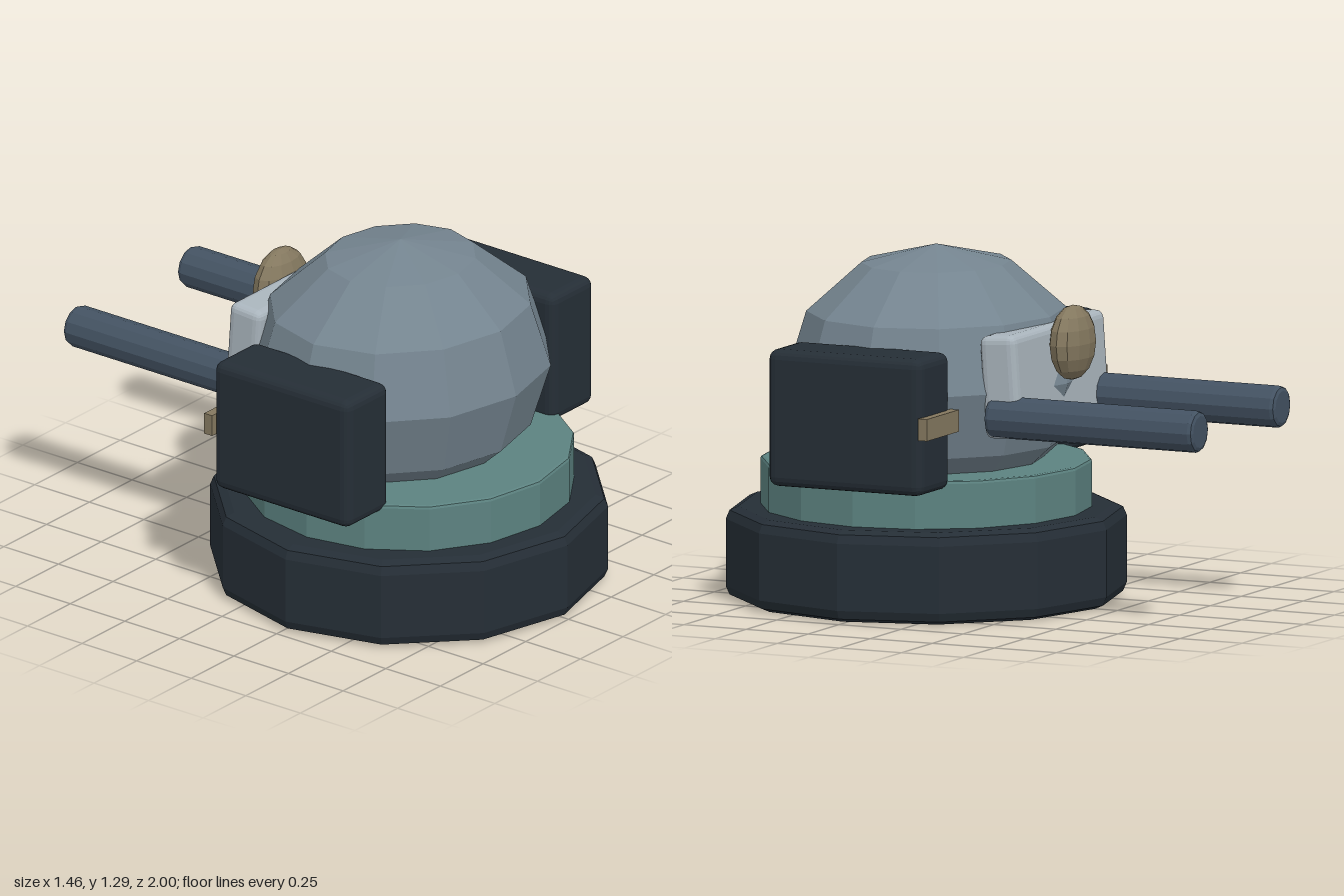
import * as THREE from 'three';
import { RoundedBoxGeometry } from 'three/addons/geometries/RoundedBoxGeometry.js';

const mat = (color) => {
  const m = new THREE.MeshStandardMaterial({ color });
  m.flatShading = true;
  return m;
};

const dark = mat(0x252e36);
const teal = mat(0x5c8280);
const steel = mat(0x74848f);
const pale = mat(0xa9b4bc);
const tan = mat(0x84785f);
const gunmetal = mat(0x435262);

export function createModel() {
  const model = new THREE.Group();

  const add = (name, geometry, material, x, y, z) => {
    const mesh = new THREE.Mesh(geometry, material);
    mesh.name = name;
    mesh.position.set(x, y, z);
    model.add(mesh);
    return mesh;
  };

  // Closed drum standing on y = 0 with softened rims
  const drum = (r, h, b, sides) => new THREE.LatheGeometry([
    [0, 0], [r - b, 0], [r - 0.3 * b, 0.3 * b], [r, b],
    [r, h - b], [r - 0.3 * b, h - 0.3 * b], [r - b, h], [0, h],
  ].map(([x, y]) => new THREE.Vector2(x, y)), sides);

  // Stacked base and turntable ring
  add('base', drum(0.725, 0.335, 0.045, 12), dark, 0, 0, 0.27);
  add('turntableRing', drum(0.6, 0.19, 0.012, 16), teal, 0, 0.32, 0.27);

  // Faceted dome, slightly wider than deep
  const dome = add('dome', new THREE.SphereGeometry(1, 12, 6), steel, 0, 0.815, 0.23);
  dome.scale.set(0.588, 0.475, 0.53);

  // Plate behind the dome, leaning a little
  const plate = add('backPlate', new RoundedBoxGeometry(0.75, 0.375, 0.145, 2, 0.03), pale, 0, 0.843, -0.207);
  plate.rotation.x = 0.07;

  // Flattened knob on the plate
  const knob = add('knob', new THREE.SphereGeometry(1, 12, 8), tan, 0, 0.967, -0.32);
  knob.scale.set(0.135, 0.137, 0.07);

  // Paired parts: side boxes, straps and rear barrels
  for (const [side, s] of [['left', 1], ['right', -1]]) {
    add(side + 'SideBox', new RoundedBoxGeometry(0.248, 0.5, 0.62, 2, 0.035), dark, s * 0.6, 0.73, 0.245);
    add(side + 'Strap', new THREE.BoxGeometry(0.26, 0.08, 0.036), tan, s * 0.602, 0.73, -0.078);
    const barrel = add(side + 'Barrel', drum(0.077, 0.84, 0.018, 12), gunmetal, s * 0.334, 0.731, -0.16);
    barrel.rotation.x = -Math.PI / 2;
  }

  return model;
}
